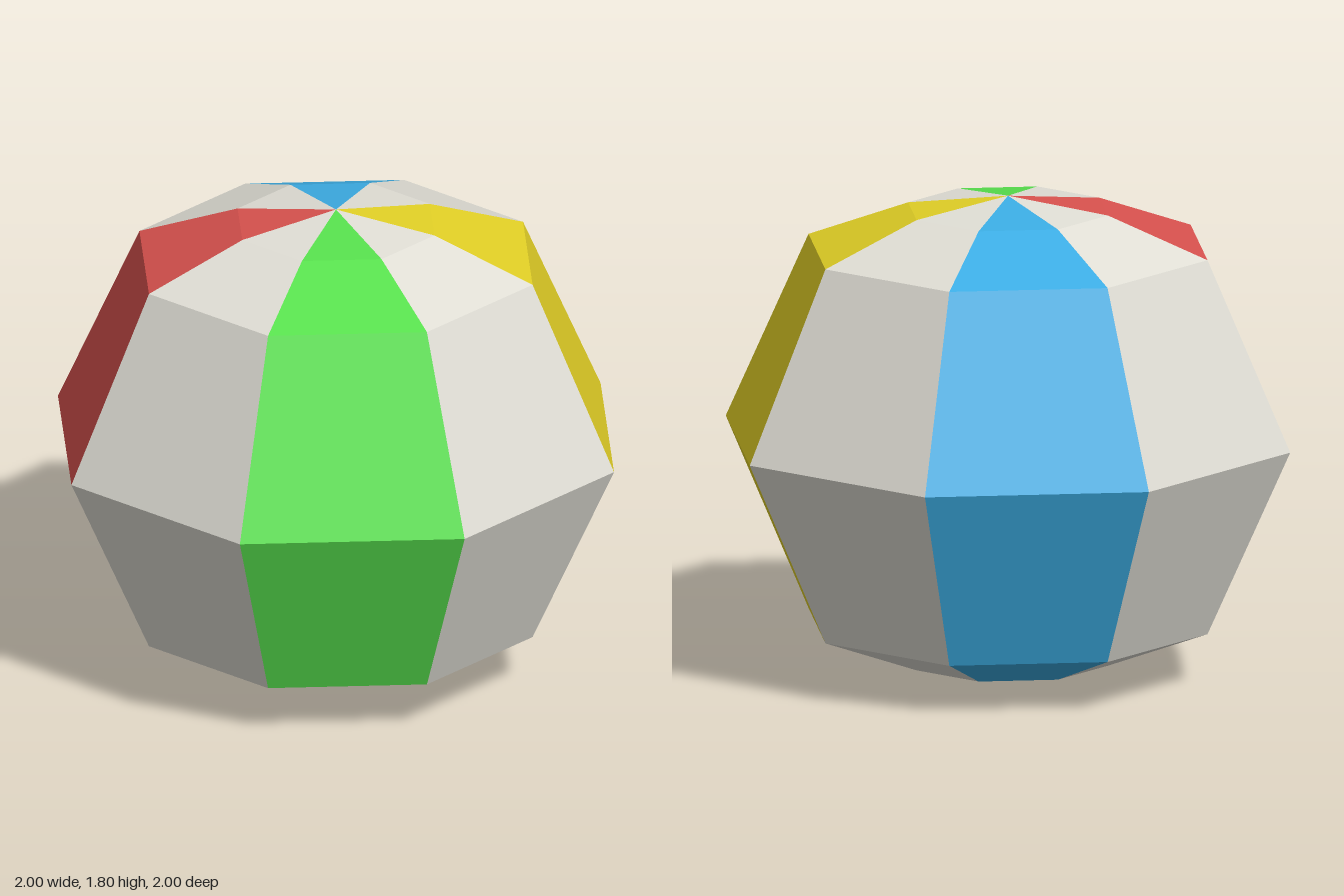
import * as THREE from 'three';

const paint = (name, color) => Object.assign(new THREE.MeshStandardMaterial({ color }), { name });

export function createModel() {
  const group = new THREE.Group();
  group.name = 'beachBall';

  const white = paint('offWhite', 0xe0ded5);
  const colours = [
    paint('green', 0x57e04d),
    paint('yellow', 0xe2d026),
    paint('blue', 0x3cade4),
    paint('red', 0xd8524e),
  ];
  const names = ['green', 'yellow', 'blue', 'red'];

  // Profile from bottom to top: [distance to the middle of a flat side, height]
  const toCorner = 1 / Math.cos(Math.PI / 8);
  const profile = [
    [0, 0], [0.354, 0.05], [0.707, 0.194], [1, 0.9],
    [0.707, 1.606], [0.354, 1.75], [0, 1.8],
  ].map(([r, y]) => new THREE.Vector2(r * toCorner, y));

  // Eight flat-sided gores, alternating colour and white, starting at the front
  for (let i = 0; i < 8; i++) {
    const start = (i - 0.5) * Math.PI / 4;
    const geometry = new THREE.LatheGeometry(profile, 1, start, Math.PI / 4).toNonIndexed();
    geometry.computeVertexNormals();
    const coloured = i % 2 === 0;
    const gore = new THREE.Mesh(geometry, coloured ? colours[i / 2] : white);
    gore.name = coloured ? `${names[i / 2]}Panel` : `whitePanel${(i + 1) / 2}`;
    group.add(gore);
  }
  return group;
}
